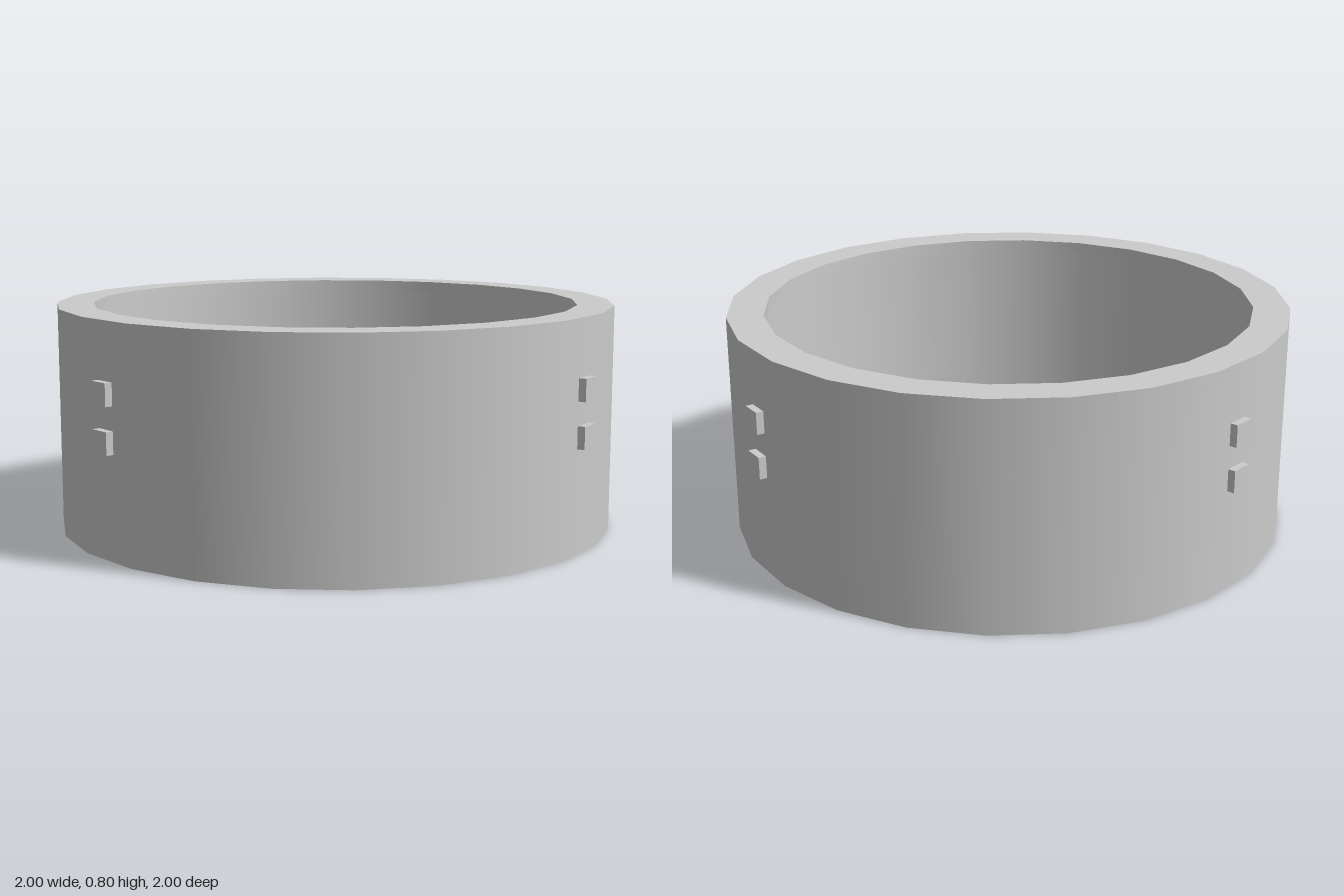
import * as THREE from 'three';
import { mergeGeometries } from 'three/addons/utils/BufferGeometryUtils.js';

const SIDES = 24;
const material = new THREE.MeshStandardMaterial({ color: 0xcccccc });

// Closed ring turned from a profile; each profile edge is its own strip, so corners stay sharp.
function turnedRing(profile) {
  const strips = profile.map(([r, y], i) => {
    const [r2, y2] = profile[(i + 1) % profile.length];
    return new THREE.LatheGeometry([new THREE.Vector2(r, y), new THREE.Vector2(r2, y2)], SIDES);
  });
  return mergeGeometries(strips);
}

export function createModel() {
  const model = new THREE.Group();
  model.name = 'ringBand';

  const height = 0.8, outer = 1, lipRadius = 0.87, recess = 0.935, lip = 0.04;

  // Band: hollow inside, with a thin inward lip at top and bottom
  const band = new THREE.Mesh(turnedRing([
    [outer, 0], [outer, height],
    [lipRadius, height], [lipRadius, height - lip],
    [recess, height - lip], [recess, lip],
    [lipRadius, lip], [lipRadius, 0],
  ]), material);
  band.name = 'band';
  model.add(band);

  // Studs: a stacked pair on four of the band's facets
  const studGeometry = new THREE.BoxGeometry(0.04, 0.078, 0.08);
  const facet = THREE.MathUtils.degToRad(37.5);
  for (const angle of [facet, Math.PI - facet, Math.PI + facet, -facet]) {
    const pair = new THREE.Group();
    pair.name = 'studPair';
    pair.rotation.y = angle;
    for (const y of [0.402, 0.562]) {
      const stud = new THREE.Mesh(studGeometry, material);
      stud.name = 'stud';
      stud.position.set(0.998, y, 0);
      pair.add(stud);
    }
    model.add(pair);
  }
  return model;
}
